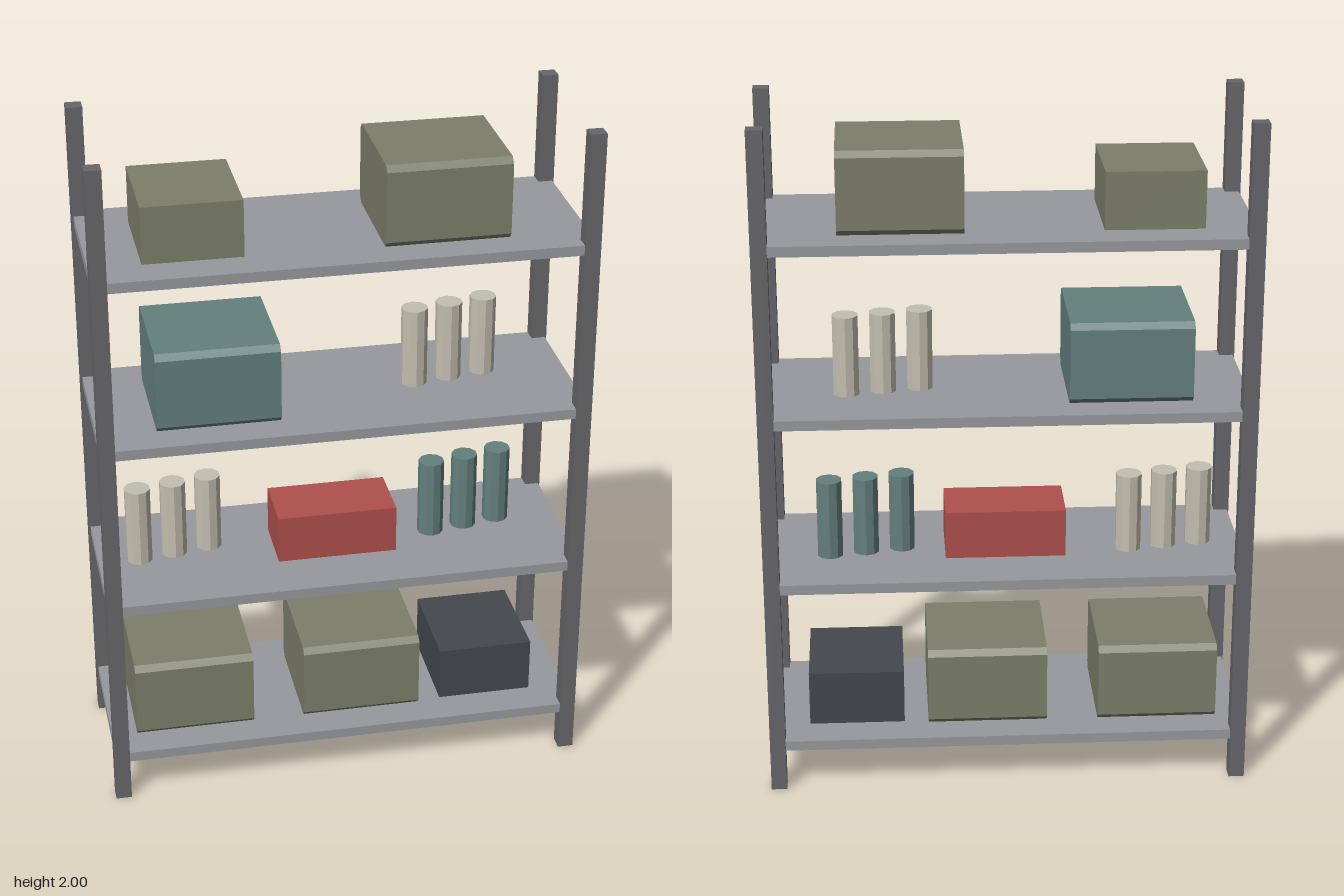
import * as THREE from 'three';

function mat(name, color) {
  const m = new THREE.MeshStandardMaterial({ color });
  m.name = name;
  return m;
}

export function createModel() {
  const group = new THREE.Group();
  const postGrey = mat('post grey', 0x67676b);
  const shelfGrey = mat('shelf grey', 0x98999e);
  const olive = mat('olive', 0x7c7e6a);
  const teal = mat('teal', 0x64807e);
  const red = mat('red', 0xae504d);
  const charcoal = mat('charcoal', 0x44484d);
  const cream = mat('cream', 0xc3beaf);

  const add = (name, geometry, material, x, y, z) => {
    const mesh = new THREE.Mesh(geometry, material);
    mesh.name = name;
    mesh.position.set(x, y, z);
    group.add(mesh);
  };

  // Four corner posts
  const post = new THREE.BoxGeometry(0.046, 2, 0.046);
  for (const x of [-0.682, 0.682])
    for (const z of [-0.24, 0.24]) add('post', post, postGrey, x, 1, z);

  // Four shelves
  const tops = [0.157, 0.663, 1.169, 1.676];
  const shelf = new THREE.BoxGeometry(1.4, 0.03, 0.52);
  for (const y of tops) add('shelf', shelf, shelfGrey, 0, y - 0.015, 0);

  // Large crate: chamfered side profile, extruded across the width
  const w = 0.353, h = 0.239, d = 0.178, c = 0.017;
  const profile = new THREE.Shape([
    [-d + c, 0], [d - c, 0], [d, c], [d, h - c],
    [d - c, h], [-d + c, h], [-d, h - c], [-d, c],
  ].map(([x, y]) => new THREE.Vector2(x, y)));
  const crate = new THREE.ExtrudeGeometry(profile, { depth: w, bevelEnabled: false });
  crate.translate(0, 0, -w / 2).rotateY(Math.PI / 2);
  for (const [x, level, material] of [
    [-0.448, 0, olive], [0.058, 0, olive], [-0.354, 2, teal], [0.295, 3, olive],
  ]) add('largeCrate', crate, material, x, tops[level], 0);

  // Plain boxes
  const smallBox = new THREE.BoxGeometry(0.282, 0.166, 0.307);
  add('smallBox', smallBox, charcoal, 0.447, tops[0] + 0.083, 0);
  add('smallBox', smallBox, olive, -0.412, tops[3] + 0.083, 0);
  add('lowBox', new THREE.BoxGeometry(0.353, 0.144, 0.19), red, 0, tops[1] + 0.072, 0);

  // Rows of three faceted canisters, each set slightly further back
  const canister = new THREE.CylinderGeometry(0.0385, 0.0385, 0.238, 10).toNonIndexed();
  canister.computeVertexNormals();
  for (const [x, level, material] of [
    [-0.577, 1, cream], [0.303, 1, teal], [0.244, 2, cream],
  ])
    for (let i = 0; i < 3; i++)
      add('canister', canister, material, x + i * 0.106, tops[level] + 0.119, -0.003 - i * 0.021);

  return group;
}
